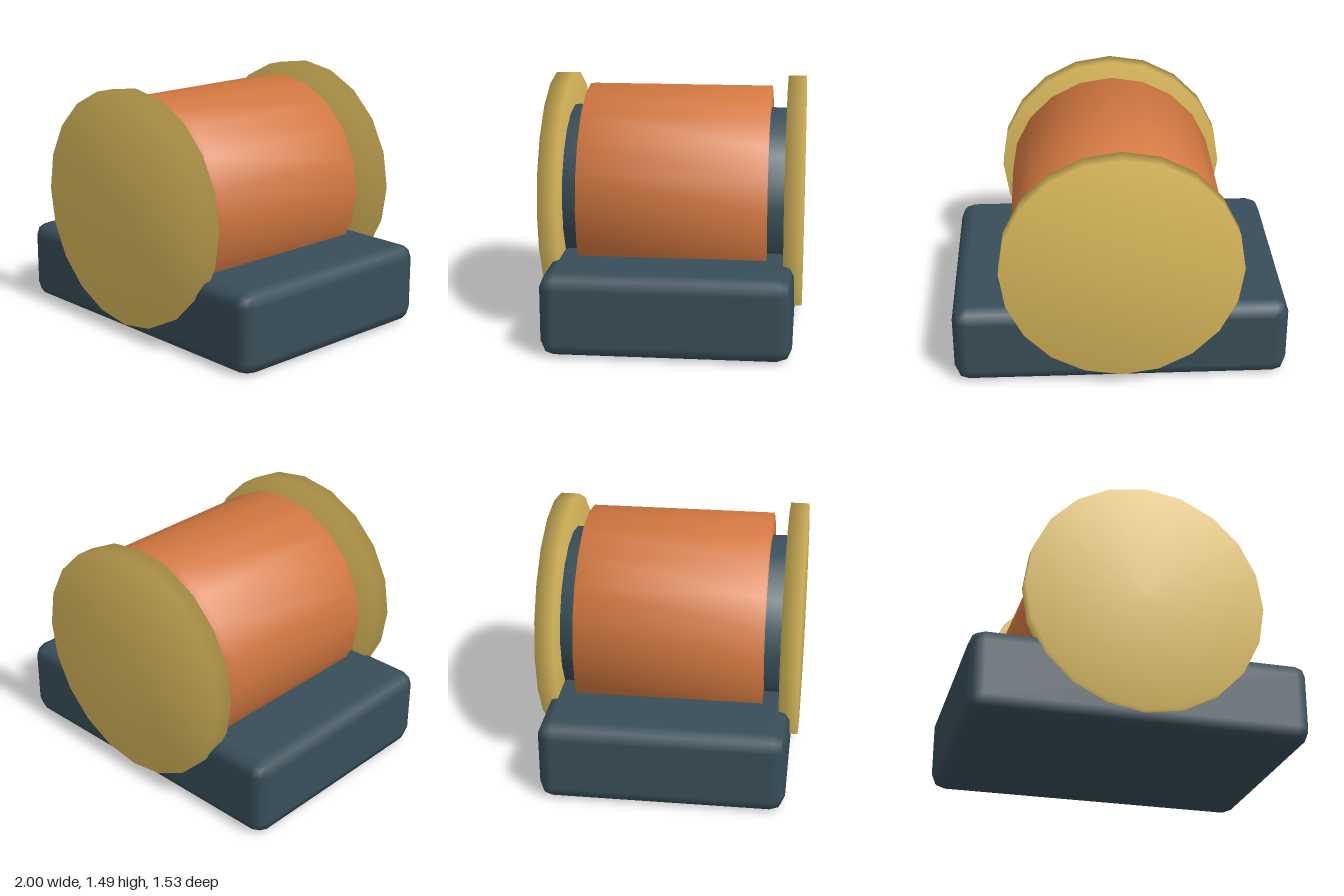
import * as THREE from 'three';
import { mergeVertices } from 'three/addons/utils/BufferGeometryUtils.js';
import { RoundedBoxGeometry } from 'three/addons/geometries/RoundedBoxGeometry.js';

const AXIS_Y = 0.78;
const SIDES = 20;

function material(name, color) {
  const m = new THREE.MeshStandardMaterial({ color });
  m.name = name;
  return m;
}

// Closed cylinder along z, with normals blended softly over its rims
function softCylinder(radius, length) {
  let geometry = new THREE.CylinderGeometry(radius, radius, length, SIDES);
  geometry.deleteAttribute('normal');
  geometry.deleteAttribute('uv');
  geometry = mergeVertices(geometry);
  geometry.rotateX(Math.PI / 2);
  geometry.computeVertexNormals();
  return geometry;
}

export function createModel() {
  const slate = material('slate', 0x384e59);
  const copper = material('copper', 0xd37840);
  const brass = material('brass', 0xddbc5d);
  const model = new THREE.Group();
  model.name = 'drumOnBase';

  const add = (name, geometry, mat, y, z = 0) => {
    const mesh = new THREE.Mesh(geometry, mat);
    mesh.name = name;
    mesh.position.set(0, y, z);
    model.add(mesh);
  };

  // Chamfered base block
  add('base', new RoundedBoxGeometry(2, 0.49, 1.44, 1, 0.085), slate, 0.245);

  // Core and the drum around it
  add('core', softCylinder(0.51, 1.33), slate, AXIS_Y);
  add('drum', softCylinder(0.645, 1.11), copper, AXIS_Y);

  // End discs, front and back
  const disc = softCylinder(0.71, 0.11);
  add('frontDisc', disc, brass, AXIS_Y, 0.71);
  add('backDisc', disc, brass, AXIS_Y, -0.71);

  return model;
}
